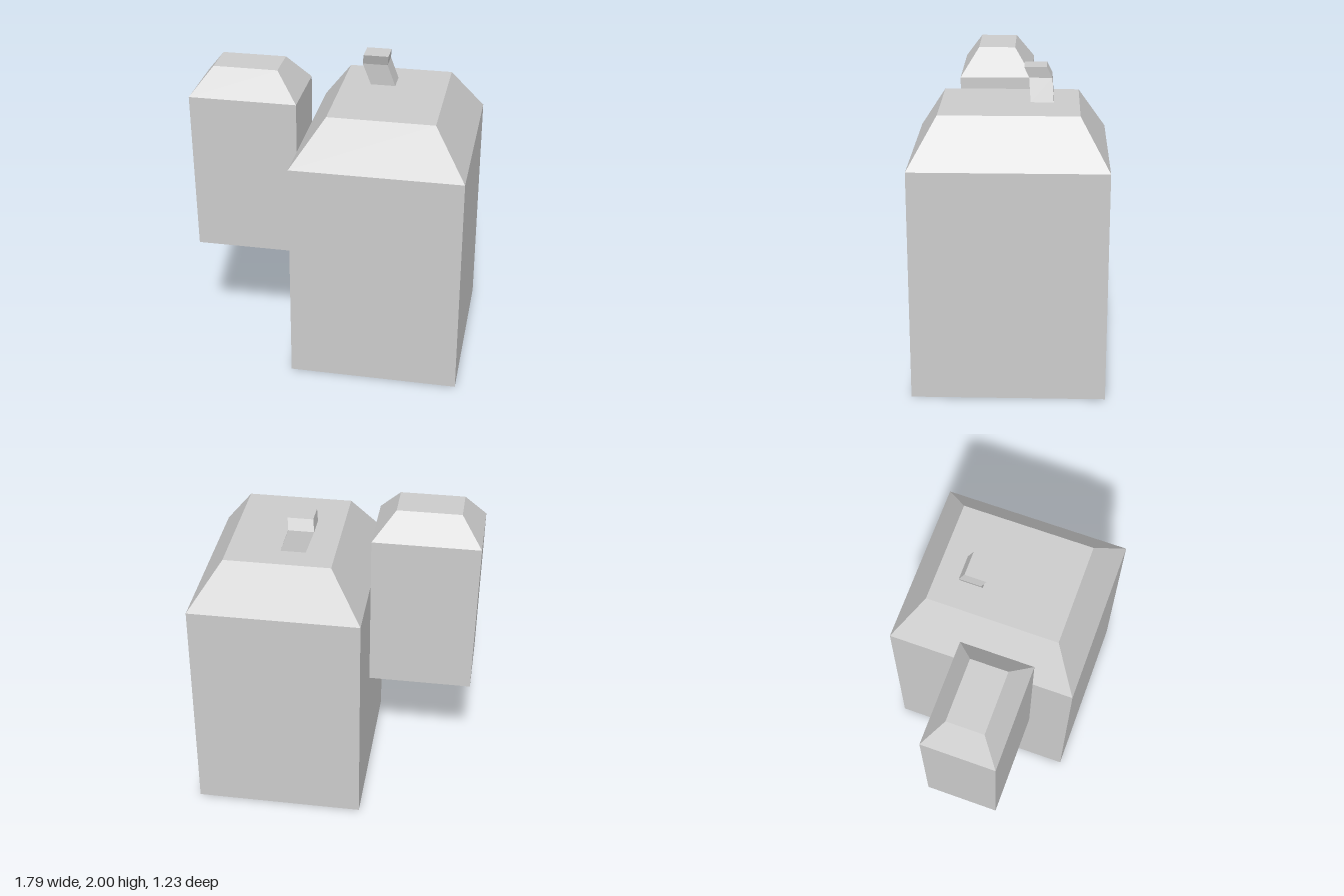
import * as THREE from 'three';

const material = new THREE.MeshStandardMaterial({ color: 0xcccccc, flatShading: true });

// Closed loft through rectangles [y, xMin, xMax, zMin, zMax], listed bottom to top
function rectLoft(name, sections) {
  const positions = [];
  const rings = sections.map(([y, x0, x1, z0, z1]) => [
    [x0, y, z1], [x1, y, z1], [x1, y, z0], [x0, y, z0],
  ]);
  const quad = (a, b, c, d) => positions.push(...a, ...b, ...c, ...a, ...c, ...d);

  for (let i = 0; i < rings.length - 1; i++) {
    const low = rings[i], high = rings[i + 1];
    for (let k = 0; k < 4; k++) {
      const n = (k + 1) % 4;
      quad(low[k], low[n], high[n], high[k]);
    }
  }
  const [a, b, c, d] = rings[0];
  quad(d, c, b, a);
  quad(...rings[rings.length - 1]);

  const geometry = new THREE.BufferGeometry();
  geometry.setAttribute('position', new THREE.Float32BufferAttribute(positions, 3));
  geometry.computeVertexNormals();
  const mesh = new THREE.Mesh(geometry, material);
  mesh.name = name;
  return mesh;
}

export function createModel() {
  const model = new THREE.Group();
  model.name = 'blockWithSideBox';

  // Large body with a sloped top
  model.add(rectLoft('mainBody', [
    [0, -0.205, 0.89, -0.612, 0.61],
    [1.487, -0.205, 0.89, -0.615, 0.613],
    [1.785, 0.003, 0.682, -0.433, 0.435],
  ]));

  // Smaller raised box attached to the side
  model.add(rectLoft('sideBox', [
    [0.757, -0.88, -0.205, -0.13, 0.347],
    [1.81, -0.897, -0.205, -0.13, 0.35],
    [1.985, -0.76, -0.347, -0.01, 0.232],
  ]));

  // Bent stem on the top
  model.add(rectLoft('stem', [
    [1.78, 0.19, 0.35, -0.272, -0.127],
    [1.93, 0.135, 0.297, -0.262, -0.116],
    [2, 0.145, 0.306, -0.227, -0.085],
  ]));

  return model;
}
